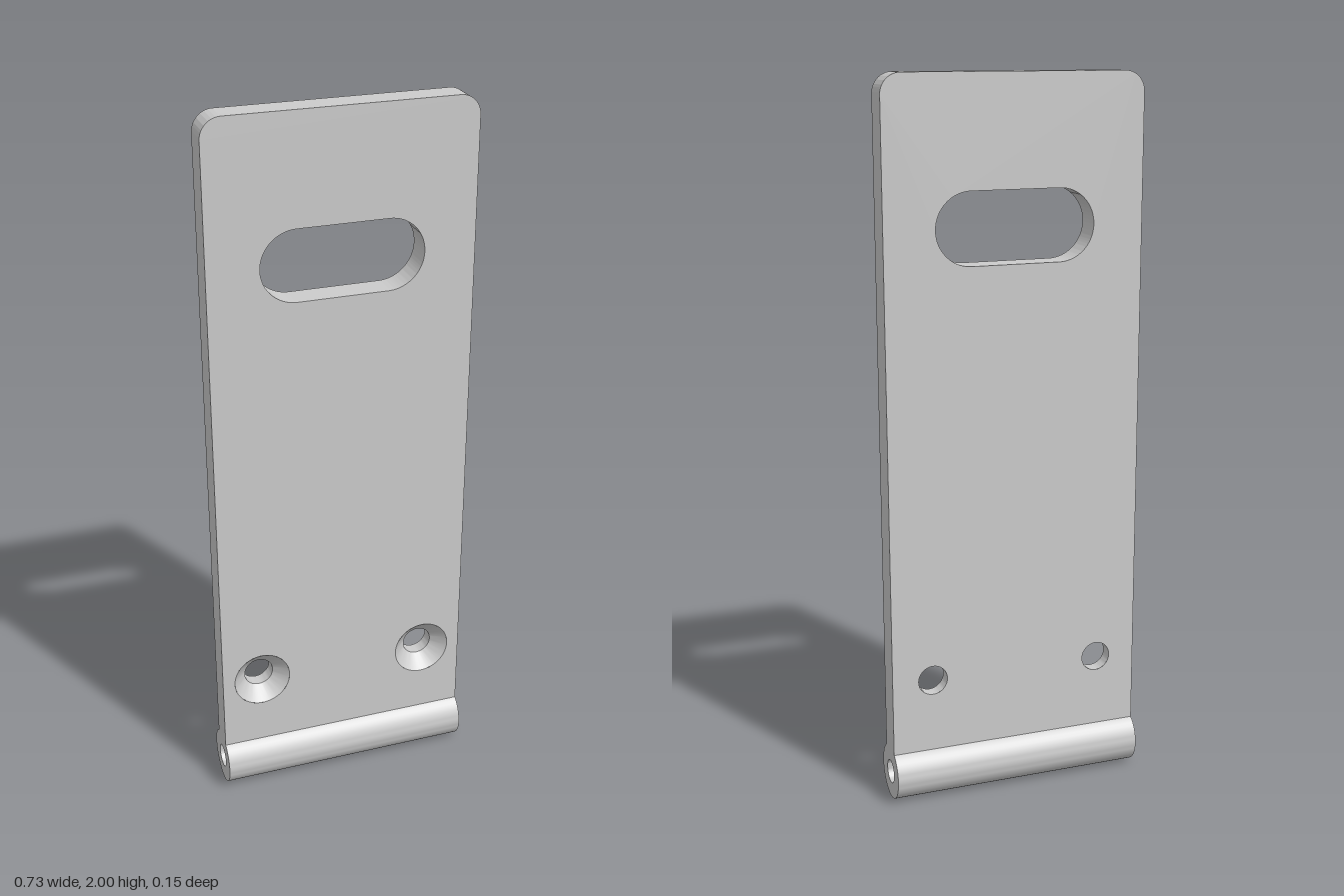
import * as THREE from 'three';
import { toCreasedNormals } from 'three/addons/utils/BufferGeometryUtils.js';

const W = 0.363, T = 0.039;              // half width, half thickness
const R = 0.077, BORE = 0.033;           // hinge barrel
const SEAT = R + Math.sqrt(R * R - T * T); // where the plate meets the barrel
const TOP = 2, CORNER = 0.055;
const SLOT = { y: 1.602, r: 0.098, x: 0.124 };
const SCREW = { x: 0.246, y: 0.353, r: 0.042, sink: 0.082 };
const SEG = 48;

// Plate outline with the slot, and screw holes of the given radius (0 for none)
function plateShape(holeRadius) {
  const s = new THREE.Shape();
  s.moveTo(-W, SEAT);
  s.lineTo(W, SEAT);
  s.absarc(W - CORNER, TOP - CORNER, CORNER, 0, Math.PI / 2);
  s.absarc(-W + CORNER, TOP - CORNER, CORNER, Math.PI / 2, Math.PI);
  s.closePath();

  const slot = new THREE.Path();
  slot.absarc(SLOT.x, SLOT.y, SLOT.r, -Math.PI / 2, Math.PI / 2);
  slot.absarc(-SLOT.x, SLOT.y, SLOT.r, Math.PI / 2, Math.PI * 1.5);
  slot.closePath();
  s.holes.push(slot);

  if (holeRadius) for (const side of [-1, 1]) {
    const hole = new THREE.Path();
    hole.absarc(side * SCREW.x, SCREW.y, holeRadius, 0, Math.PI * 2);
    s.holes.push(hole);
  }
  return s;
}

// Side walls only of the extruded plate outline
function wallGeometry() {
  const full = new THREE.ExtrudeGeometry(plateShape(0), { depth: 2 * T, bevelEnabled: false, curveSegments: SEG });
  const { start, count } = full.groups[1];
  const pos = full.attributes.position.array.slice(start * 3, (start + count) * 3);
  const g = new THREE.BufferGeometry();
  g.setAttribute('position', new THREE.BufferAttribute(pos, 3));
  g.translate(0, 0, -T);
  return toCreasedNormals(g, 0.5);
}

function lathe(points) {
  const profile = points.map(([r, h]) => new THREE.Vector2(r, h));
  return toCreasedNormals(new THREE.LatheGeometry(profile, SEG), 0.5);
}

export function createModel() {
  const group = new THREE.Group();
  const material = new THREE.MeshStandardMaterial({ color: 0xcccccc });
  const add = (name, geometry) => {
    const mesh = new THREE.Mesh(geometry, material);
    mesh.name = name;
    group.add(mesh);
    return mesh;
  };

  // Flat plate: the front has the wide countersinks, the back the narrow holes
  add('plateFront', new THREE.ShapeGeometry(plateShape(SCREW.sink), SEG)).position.z = T;
  const back = add('plateBack', new THREE.ShapeGeometry(plateShape(SCREW.r), SEG).rotateY(Math.PI));
  back.position.z = -T;
  add('plateEdges', wallGeometry());

  // Countersunk screw holes: cone from the front, then a straight bore
  const sink = lathe([[SCREW.sink, T], [SCREW.r, 0], [SCREW.r, -T]]).rotateX(Math.PI / 2);
  for (const side of [-1, 1]) {
    add(side > 0 ? 'leftScrewHole' : 'rightScrewHole', sink).position.set(side * SCREW.x, SCREW.y, 0);
  }

  // Hollow hinge barrel along the bottom edge
  const barrel = lathe([[BORE, -W], [R, -W], [R, W], [BORE, W], [BORE, -W]]).rotateZ(Math.PI / 2);
  add('hingeBarrel', barrel).position.y = R;

  return group;
}
